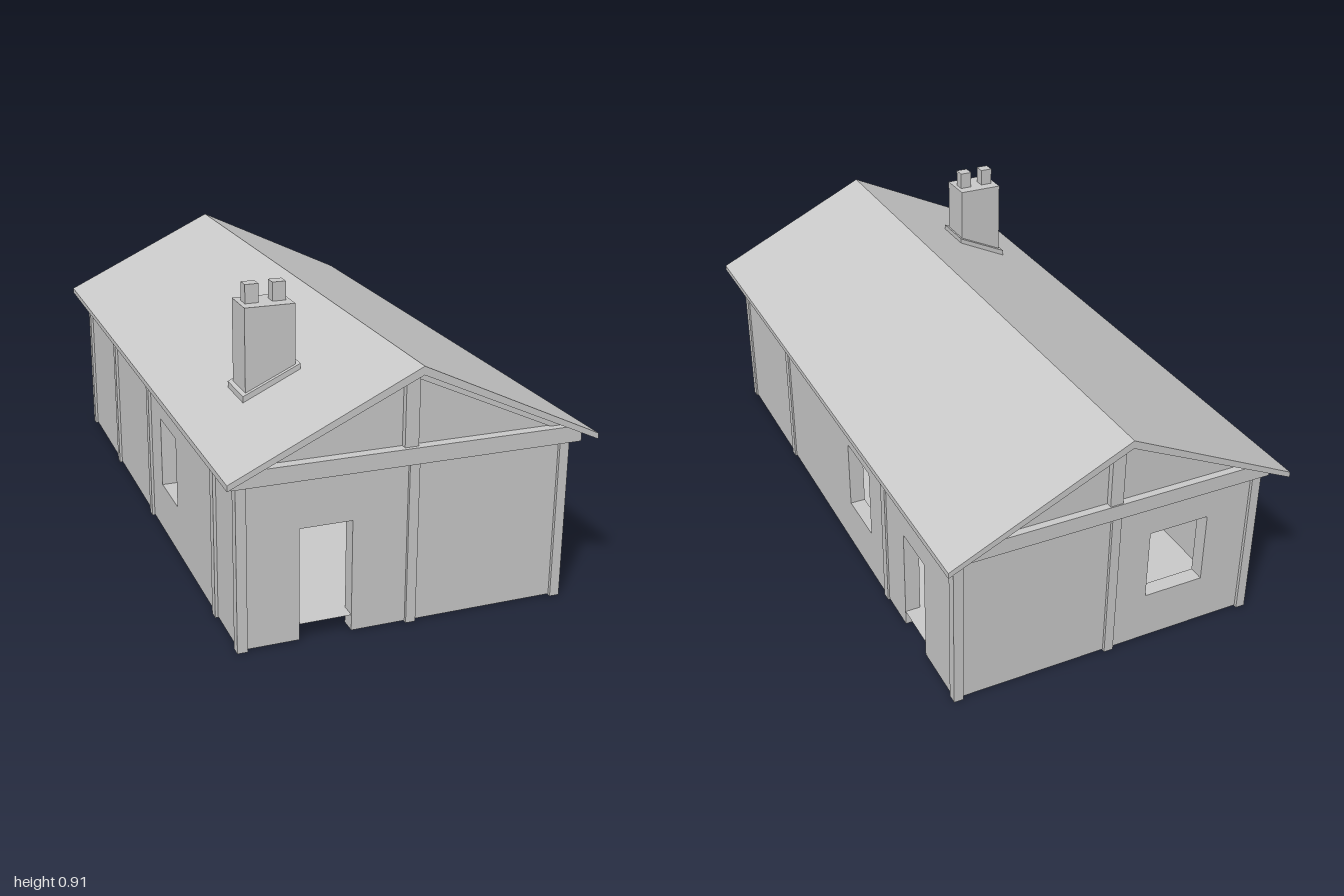
import * as THREE from 'three';

const WALL_X = 0.479, WALL_Z = 0.92, THICK = 0.047, BASE = 0.003;
const FLOOR = 0.05, CEILING = 0.482;
const SLOPE = 0.46, RIDGE_UNDER = 0.748;
const roofUnder = (x) => RIDGE_UNDER - SLOPE * Math.abs(x);

export function createModel() {
  const house = new THREE.Group();
  house.name = 'house';
  const plaster = new THREE.MeshStandardMaterial({ color: 0xcacaca, side: THREE.DoubleSide });
  plaster.name = 'plainGrey';

  function add(name, geometry) {
    const mesh = new THREE.Mesh(geometry, plaster);
    mesh.name = name;
    house.add(mesh);
    return mesh;
  }

  // Box given by its lower and upper limits on each axis
  function box(x0, x1, y0, y1, z0, z1) {
    const g = new THREE.BoxGeometry(x1 - x0, y1 - y0, z1 - z0);
    return g.translate((x0 + x1) / 2, (y0 + y1) / 2, (z0 + z1) / 2);
  }

  // Horizontal sheet at height y
  function sheet(x0, x1, y, z0, z1) {
    const g = new THREE.PlaneGeometry(x1 - x0, z1 - z0).rotateX(-Math.PI / 2);
    return g.translate((x0 + x1) / 2, y, (z0 + z1) / 2);
  }

  // Outline in x, y pushed from z0 to z1, with rectangular openings [a, b, low, high]
  function prism(points, z0, z1, openings = []) {
    const shape = new THREE.Shape(points.map(([x, y]) => new THREE.Vector2(x, y)));
    for (const [a, b, low, high] of openings) {
      shape.holes.push(new THREE.Path([[a, low], [a, high], [b, high], [b, low]]
        .map(([x, y]) => new THREE.Vector2(x, y))));
    }
    const g = new THREE.ExtrudeGeometry(shape, { depth: z1 - z0, bevelEnabled: false });
    return g.translate(0, 0, z0);
  }

  // Walls, posts and beams are hollow shells, open at their lowest face
  function openFoot(g) {
    const src = g.index ? g.toNonIndexed() : g;
    const p = src.attributes.position;
    src.computeBoundingBox();
    const limit = src.boundingBox.min.y + 0.0005;
    const kept = [];
    for (let i = 0; i < p.count; i += 3) {
      if (Math.max(p.getY(i), p.getY(i + 1), p.getY(i + 2)) < limit) continue;
      for (let k = i; k < i + 3; k++) kept.push(p.getX(k), p.getY(k), p.getZ(k));
    }
    const out = new THREE.BufferGeometry();
    out.setAttribute('position', new THREE.Float32BufferAttribute(kept, 3));
    out.computeVertexNormals();
    return out;
  }

  // Foot line of a wall from left to right, stepping up around a doorway
  const foot = (a, b, door) => door
    ? [[a, BASE], [door[0], BASE], [door[0], door[2]], [door[1], door[2]], [door[1], BASE], [b, BASE]]
    : [[a, BASE], [b, BASE]];

  // End walls with gables
  const eave = roofUnder(WALL_X);
  const gableTop = [[WALL_X, eave], [0, RIDGE_UNDER], [-WALL_X, eave]];
  add('frontWall', openFoot(prism(
    [...foot(-WALL_X, WALL_X, [-0.309, -0.158, 0.332]), ...gableTop], WALL_Z - THICK, WALL_Z)));
  add('backWall', openFoot(prism(
    [...foot(-WALL_X, WALL_X), ...gableTop], -WALL_Z, -WALL_Z + THICK, [[-0.32, -0.13, 0.155, 0.378]])));

  // Side walls, drawn along -z and turned into place
  const innerX = WALL_X - THICK, innerZ = WALL_Z - THICK;
  const sideTop = [[innerZ, eave], [-innerZ, eave]];
  add('rightSideWall', openFoot(prism(
    [...foot(-innerZ, innerZ, [0.573, 0.72, 0.332]), ...sideTop],
    innerX, WALL_X, [[0.13, 0.307, 0.157, 0.379]]).rotateY(Math.PI / 2)));
  add('leftSideWall', openFoot(prism(
    [...foot(-innerZ, innerZ), ...sideTop],
    -WALL_X, -innerX, [[-0.305, -0.125, 0.157, 0.379]]).rotateY(Math.PI / 2)));

  // Raised floor with a threshold in each doorway, and the ceiling
  add('floor', sheet(-innerX, innerX, FLOOR, -innerZ, innerZ));
  add('frontThreshold', sheet(-0.309, -0.158, FLOOR, innerZ, WALL_Z));
  add('sideThreshold', sheet(innerX, WALL_X, FLOOR, -0.72, -0.573));
  add('ceiling', sheet(-innerX, innerX, CEILING, -innerZ, innerZ));

  // Timber posts: corners, ends and sides
  const post = (name, x, z) =>
    add(name, openFoot(box(x - 0.0145, x + 0.0145, 0, 0.5, z - 0.0145, z + 0.0145)));
  for (const x of [-0.473, 0.47]) {
    for (const z of [-0.915, 0.915]) post('cornerPost', x, z);
  }
  post('frontPost', 0.0155, 0.915);
  post('backPost', -0.01, -0.915);
  for (const z of [0.45, -0.43]) post('sidePost', 0.47, z);
  for (const z of [0.71, -0.01, -0.49]) post('sidePost', -0.473, z);

  // Wall plates under the eaves
  add('leftWallPlate', openFoot(box(-0.504, -0.47, 0.481, 0.513, -0.942, 0.95)));
  add('rightWallPlate', openFoot(box(0.47, 0.509, 0.481, 0.513, -0.942, 0.95)));

  // Gable frames: tie beam, king post and rafters
  const tie = [[-0.504, 0.481], [0.509, 0.481], [0.509, 0.512], [0.474, 0.528], [-0.474, 0.528], [-0.504, 0.514]];
  const rafter = [[-0.49, roofUnder(0.49)], [-0.49, roofUnder(0.49) - 0.026], [0, RIDGE_UNDER - 0.026],
    [0.49, roofUnder(0.49) - 0.026], [0.49, roofUnder(0.49)], [0, RIDGE_UNDER]];
  for (const s of [-1, 1]) {
    const span = (a, b) => (s > 0 ? [a, b] : [-b, -a]);
    add('tieBeam', openFoot(prism(tie, ...span(0.91, s > 0 ? 0.95 : 0.942))));
    add('gableRafters', prism(rafter, ...span(0.91, 0.928)));
    add('kingPost', prism([[-0.02, 0.52], [0.02, 0.52], [0.02, roofUnder(0.02)],
      [0, RIDGE_UNDER], [-0.02, roofUnder(0.02)]], ...span(0.91, 0.938)));
  }

  // Pitched roof
  add('roof', prism([[-0.53, 0.503], [0, RIDGE_UNDER], [0.53, 0.503],
    [0.53, 0.52], [0, 0.772], [-0.53, 0.52]], -1, 1));

  // Chimney with sloping collar and two pots
  add('chimneyCollar', prism([[-0.372, 0.588], [-0.204, 0.667], [-0.204, 0.691], [-0.372, 0.613]], 0.5, 0.64));
  add('chimneyStack', box(-0.361, -0.215, 0.595, 0.86, 0.515, 0.628));
  for (const x of [-0.327, -0.248]) {
    add('chimneyPot', box(x - 0.0195, x + 0.0195, 0.86, 0.914, 0.551, 0.588));
  }

  return house;
}
